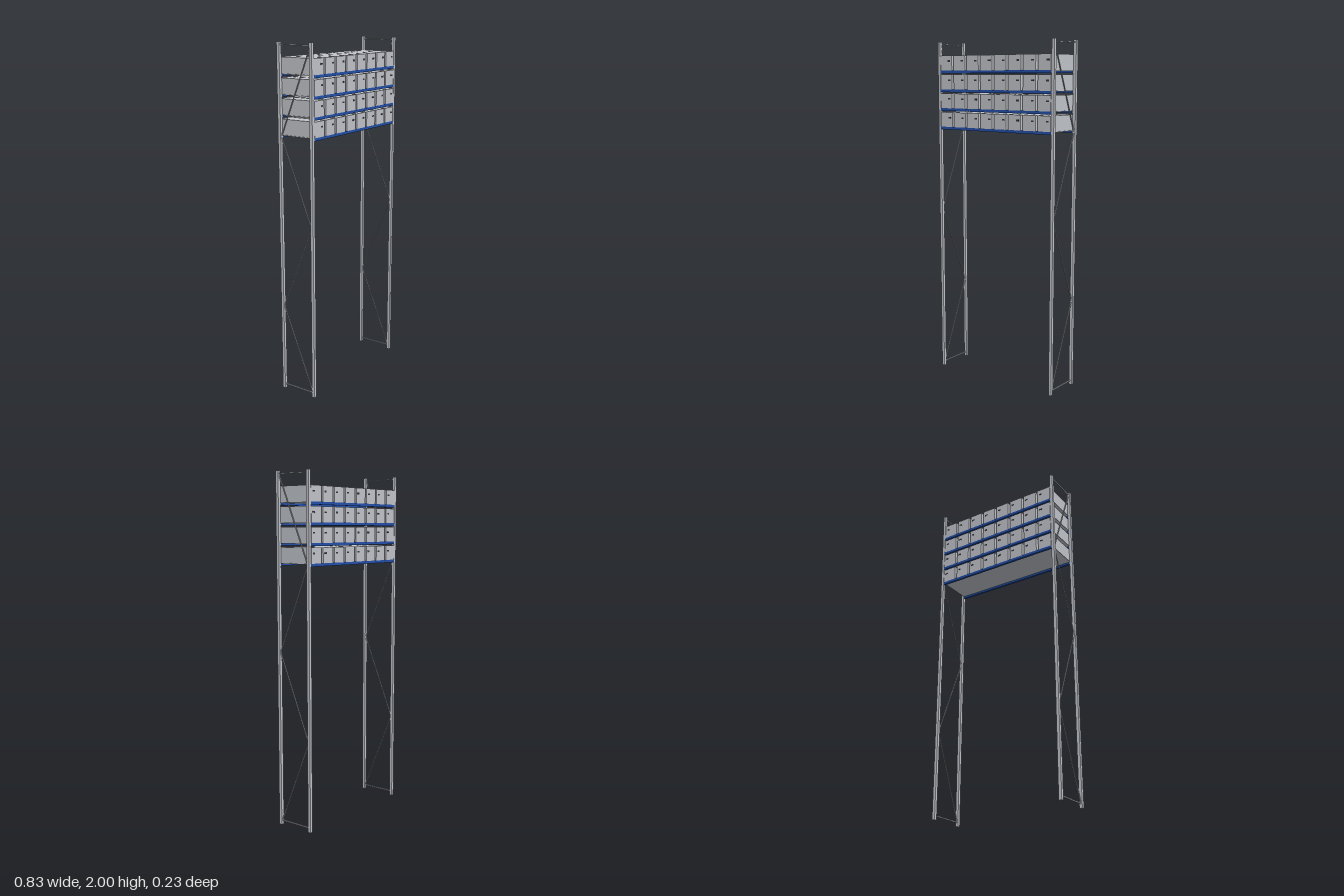
import * as THREE from 'three';

export function createModel() {
  const model = new THREE.Group();
  model.name = 'shelvingRack';

  const paint = (name, color) => {
    const m = new THREE.MeshStandardMaterial({ color });
    m.name = name;
    return m;
  };
  const steel = paint('lightGreySteel', 0xc2c5cb);
  const blue = paint('blueBeam', 0x2450aa);
  const dark = paint('darkHandle', 0x33373c);

  const box = (parent, name, mat, [w, h, d], [x, y, z]) => {
    const mesh = new THREE.Mesh(new THREE.BoxGeometry(w, h, d), mat);
    mesh.name = name;
    mesh.position.set(x, y, z);
    parent.add(mesh);
    return mesh;
  };

  const HALF_DEPTH = 0.1165;
  const POST = 0.018;
  const postZ = HALF_DEPTH - POST / 2;

  // End frames: two posts, two horizontal struts and zigzag bracing
  const zigzagY = [1.98, 1.495, 1.005, 0.515, 0.025];
  for (const side of [-1, 1]) {
    const frame = new THREE.Group();
    frame.name = side > 0 ? 'leftFrame' : 'rightFrame';
    model.add(frame);
    const x = side * 0.405;
    for (const z of [-postZ, postZ]) box(frame, 'post', steel, [POST, 2, POST], [x, 1, z]);
    for (const y of [0.025, 1.985]) box(frame, 'strut', steel, [0.007, 0.006, 0.2], [x, y, 0]);
    for (let i = 0; i < 4; i++) {
      const dir = i % 2 ? 1 : -1;
      const rise = zigzagY[i] - zigzagY[i + 1];
      const run = 0.2;
      const brace = box(frame, 'diagonalBrace', steel,
        [0.006, Math.hypot(rise, run), 0.004], [x, (zigzagY[i] + zigzagY[i + 1]) / 2, 0]);
      brace.rotation.x = -dir * Math.atan2(run, rise);
    }
  }

  // Shelf levels: blue beams front and back, a thin deck and eight bins
  for (let row = 0; row < 4; row++) {
    const level = new THREE.Group();
    level.name = 'shelfLevel' + (row + 1);
    level.position.y = 1.503 + row * 0.11;
    model.add(level);
    for (const z of [-1, 1]) {
      box(level, 'beam', blue, [0.794, 0.016, 0.0135], [0, -0.008, z * (HALF_DEPTH - 0.00675)]);
    }
    box(level, 'deck', steel, [0.794, 0.004, 0.206], [0, -0.002, 0]);

    for (let col = 0; col < 8; col++) {
      const x = -0.35 + col * 0.1;
      box(level, 'bin', steel, [0.086, 0.086, HALF_DEPTH * 2], [x, 0.043, 0]);
      for (const z of [-1, 1]) {
        box(level, 'binHandle', dark, [0.018, 0.009, 0.002], [x + 0.022, 0.055, z * HALF_DEPTH]);
      }
    }
  }

  return model;
}
